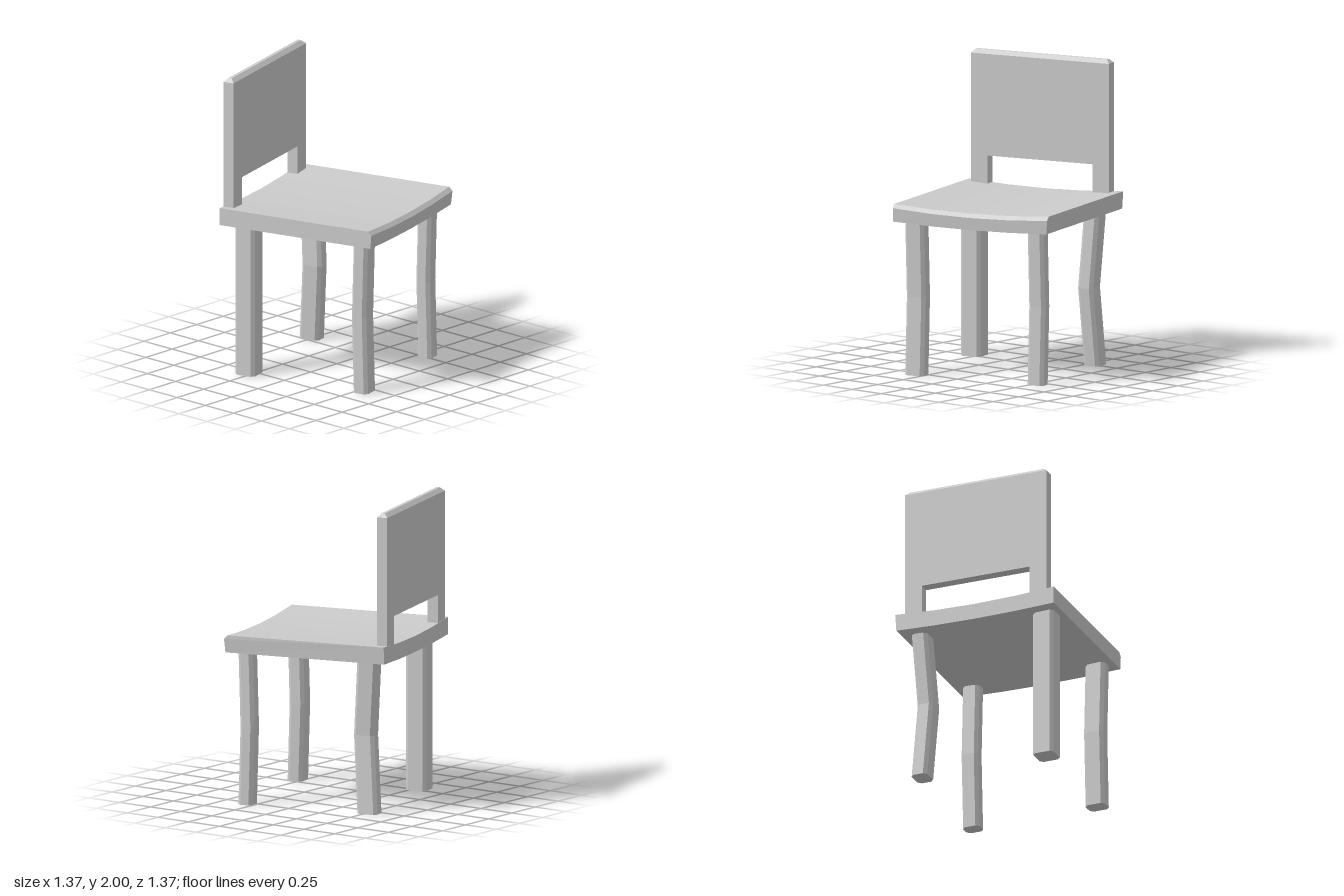
import * as THREE from 'three';

const material = new THREE.MeshStandardMaterial({ color: 0xcccccc, flatShading: true });

function addMesh(parent, name, geometry) {
  geometry.computeVertexNormals();
  const mesh = new THREE.Mesh(geometry, material);
  mesh.name = name;
  parent.add(mesh);
  return mesh;
}

// Apply a rule to every vertex
function deform(geometry, rule) {
  const p = geometry.attributes.position;
  const v = new THREE.Vector3();
  for (let i = 0; i < p.count; i++) {
    rule(v.fromBufferAttribute(p, i));
    p.setXYZ(i, v.x, v.y, v.z);
  }
  return geometry;
}

const polygon = (points) => new THREE.Shape(points.map(([x, y]) => new THREE.Vector2(x, y)));

// Slab with a bevelled front lip, sagging across its width
function seatGeometry() {
  const profile = polygon([[0.565, 1.015], [-0.547, 1.015], [-0.554, 1.105], [-0.53, 1.13], [0.565, 1.13]]);
  const g = new THREE.ExtrudeGeometry(profile, { depth: 1.118, steps: 4, bevelEnabled: false });
  g.rotateY(Math.PI / 2).translate(-0.562, 0, 0);
  return deform(g, (v) => {
    const sag = Math.max(0, 1 - (v.x / 0.56) ** 2);
    const bottom = v.y < 1.05;
    if (bottom && v.x > 0.5) v.x -= 0.008;
    v.y -= sag * (bottom ? 0.014 : 0.023);
  });
}

// Chamfered square post, bent most at half height
function legGeometry(width, depth, bendX, bendZ) {
  const a = width / 2, b = depth / 2, c = 0.022, height = 1.03;
  const section = polygon([
    [a, b - c], [a - c, b], [c - a, b], [-a, b - c],
    [-a, c - b], [c - a, -b], [a - c, -b], [a, c - b],
  ]);
  const g = new THREE.ExtrudeGeometry(section, { depth: height, steps: 4, bevelEnabled: false });
  g.rotateX(-Math.PI / 2);
  return deform(g, (v) => {
    const bend = 1 - Math.abs(2 * v.y / height - 1);
    v.x += bendX * bend;
    v.z += bendZ * bend;
  });
}

export function createModel() {
  const model = new THREE.Group();
  model.name = 'chair';
  // The whole chair stands turned about the vertical axis
  const chair = new THREE.Group();
  chair.name = 'turnedChair';
  chair.rotation.y = Math.PI / 12;
  model.add(chair);

  addMesh(chair, 'seat', seatGeometry());

  // Legs: x, z, width, depth, bend in x, bend in z
  const legs = {
    backRightLeg: [-0.446, -0.41, 0.145, 0.145, 0, 0],
    frontRightLeg: [-0.444, 0.44, 0.137, 0.106, 0.004, -0.016],
    backLeftLeg: [0.428, -0.414, 0.11, 0.142, -0.028, 0.035],
    frontLeftLeg: [0.431, 0.438, 0.117, 0.1, 0.004, -0.016],
  };
  for (const [name, [x, z, ...form]] of Object.entries(legs)) {
    addMesh(chair, name, legGeometry(...form)).position.set(x, 0, z);
  }

  // Backrest panel on two short posts, with an open slot between them
  const backrest = new THREE.Group();
  backrest.name = 'backrest';
  backrest.position.set(-0.011, 0, -0.563);
  chair.add(backrest);
  const thickness = 0.073, half = 0.5, slot = 0.38, chamfer = 0.025;
  const panel = polygon([
    [-half, 1.06], [-slot, 1.06], [-slot, 1.305], [slot, 1.305],
    [slot, 1.06], [half, 1.06], [half, 2 - chamfer], [-half, 2 - chamfer],
  ]);
  addMesh(backrest, 'backrestPanel',
    new THREE.ExtrudeGeometry(panel, { depth: thickness, bevelEnabled: false }));

  // Chamfered top edge
  const cap = deform(new THREE.BoxGeometry(2 * half, chamfer, thickness), (v) => {
    if (v.y > 0) {
      v.x -= Math.sign(v.x) * chamfer;
      v.z -= Math.sign(v.z) * chamfer;
    }
  });
  addMesh(backrest, 'backrestTopEdge', cap).position.set(0, 2 - chamfer / 2, thickness / 2);

  return model;
}
